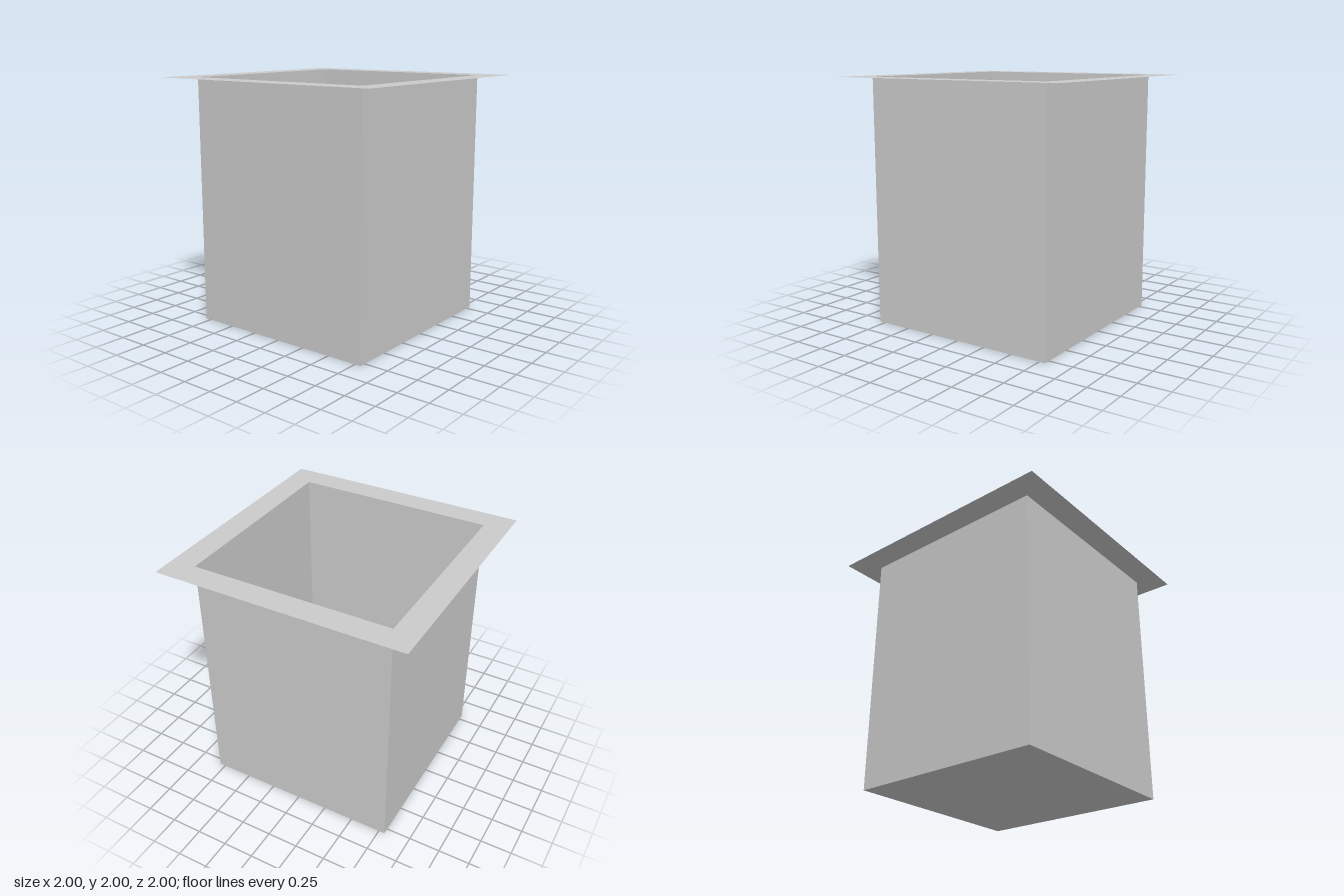
import * as THREE from 'three';

const HEIGHT = 2, HALF = 0.8, RIM = 1;

// Square outline centred on the origin
function square(PathType, half) {
  return new PathType([[-1, -1], [1, -1], [1, 1], [-1, 1]]
    .map(([x, y]) => new THREE.Vector2(x * half, y * half)));
}

export function createModel() {
  const model = new THREE.Group();
  model.name = 'openBin';
  const material = new THREE.MeshStandardMaterial({
    color: 0xcccccc, flatShading: true, side: THREE.DoubleSide,
  });
  const add = (name, geometry) => {
    const mesh = new THREE.Mesh(geometry, material);
    mesh.name = name;
    model.add(mesh);
  };

  // Four thin walls, each turned a quarter further around the y axis
  ['frontWall', 'leftWall', 'backWall', 'rightWall'].forEach((name, i) => {
    add(name, new THREE.PlaneGeometry(2 * HALF, HEIGHT)
      .translate(0, HEIGHT / 2, HALF)
      .rotateY(i * Math.PI / 2));
  });

  // Closed floor, facing down
  add('floor', new THREE.PlaneGeometry(2 * HALF, 2 * HALF).rotateX(Math.PI / 2));

  // Flat rim around the open top
  const rim = square(THREE.Shape, RIM);
  rim.holes.push(square(THREE.Path, HALF));
  add('rim', new THREE.ShapeGeometry(rim).rotateX(-Math.PI / 2).translate(0, HEIGHT, 0));

  return model;
}
